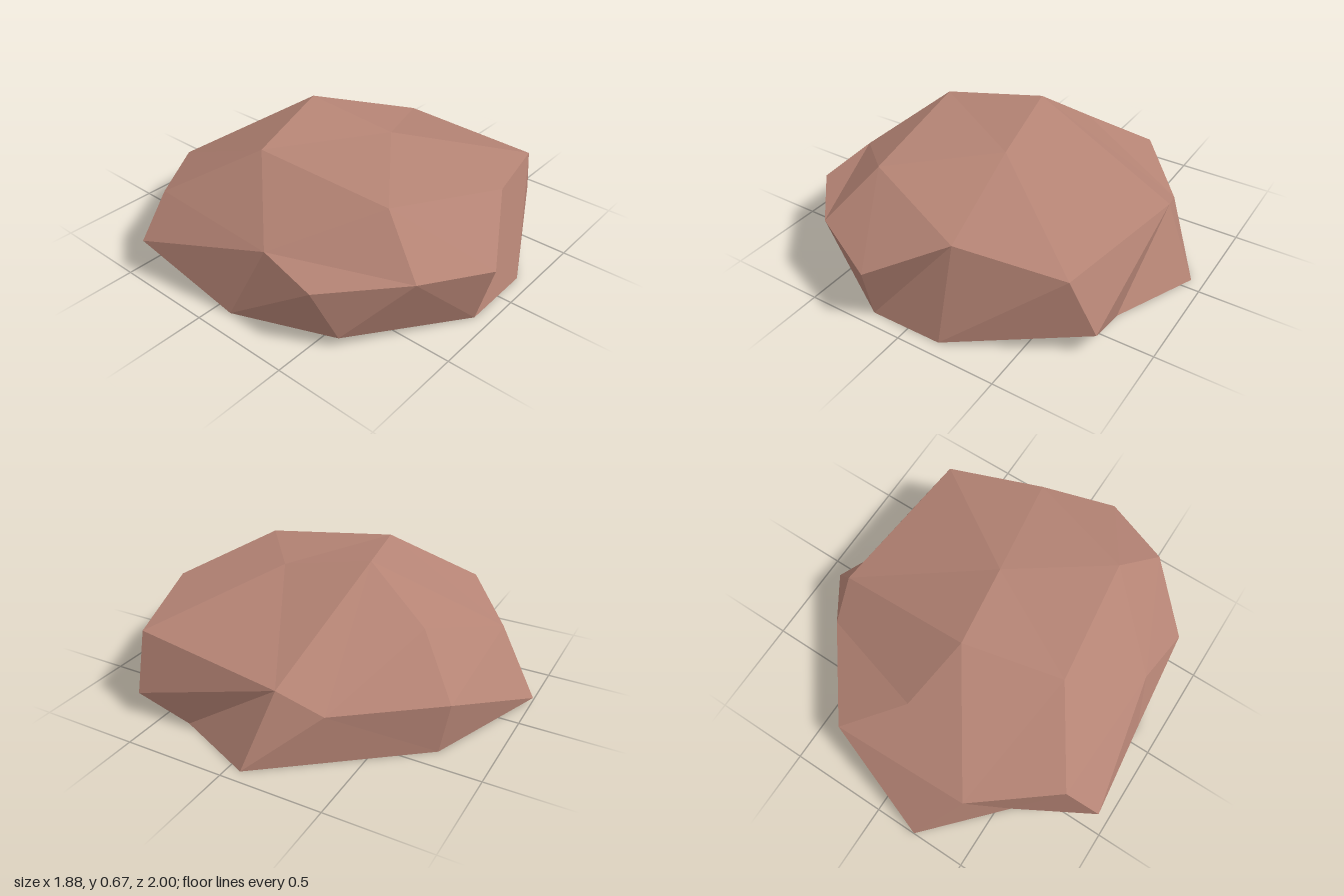
import * as THREE from 'three';

// Corner points of the boulder: crown, shoulders, then foot
const P = {
  peak: [0, 0.665, -0.21], crownL: [-0.485, 0.61, -0.085], crown: [0.07, 0.585, 0.23],
  brow: [-0.4, 0.537, 0.587], browR: [0.17, 0.45, 0.8], ridge: [0.095, 0.43, -0.54],
  cornerR: [0.663, 0.375, 0.662], sideR: [0.757, 0.332, -0.138], dentR: [0.7, 0.23, -0.347],
  backR: [0.36, 0.235, -0.79], back: [-0.37, 0.29, -0.775], backL: [-0.76, 0.356, -0.48],
  spurL: [-0.94, 0.18, -0.445], sideL: [-0.792, 0.355, 0.225], cheekL: [-0.828, 0.302, 0.52],
  chinL: [-0.53, 0.335, 0.84], chin: [-0.175, 0.28, 1], jawR: [0.78, 0.105, 0.62],
  jawL: [-0.74, 0.055, 0.6],
  footL: [-0.89, 0.003, 0.085], footBackL: [-0.56, 0, -0.63], footBack: [-0.22, 0.018, -1],
  footBackR: [0.39, 0, -0.755], footR: [0.937, 0, -0.062], footFrontR: [0.75, 0, 0.355],
  footFront: [0.17, 0.003, 0.93], footFrontL: [-0.195, 0, 0.93],
};

// Each fan: a hub followed by its neighbours, counter-clockwise from outside
const FANS = [
  'crown sideR peak crownL brow browR cornerR sideR',
  'sideL crownL backL spurL footL cheekL chinL brow crownL',
  'back crownL peak ridge backR footBack footBackL backL crownL',
  'dentR sideR footR footBackR backR ridge peak sideR',
  'jawR cornerR footFront footFrontR sideR cornerR',
  'chin brow chinL footFrontL browR brow',
  'jawL cheekL footL footFrontL chinL cheekL',
  'browR footFrontL footFront cornerR',
  'sideR footFrontR footR',
  'backR footBackR footBack',
  'backL footBackL spurL',
  'spurL footBackL footL',
  // underside
  'footL footBackL footBack footBackR footR footFrontR footFront footFrontL',
];

function facetedGeometry(points, fans) {
  const positions = [];
  for (const fan of fans) {
    const [hub, ...rim] = fan.split(' ').map((name) => points[name]);
    for (let i = 0; i + 1 < rim.length; i++) positions.push(...hub, ...rim[i], ...rim[i + 1]);
  }
  const geometry = new THREE.BufferGeometry();
  geometry.setAttribute('position', new THREE.Float32BufferAttribute(positions, 3));
  geometry.computeVertexNormals(); // unshared corners keep every facet flat
  return geometry;
}

export function createModel() {
  const stone = new THREE.MeshStandardMaterial({ color: 0xb48374 });
  stone.name = 'reddish stone';

  const boulder = new THREE.Mesh(facetedGeometry(P, FANS), stone);
  boulder.name = 'boulder';

  const group = new THREE.Group();
  group.name = 'rock';
  group.add(boulder);
  return group;
}
